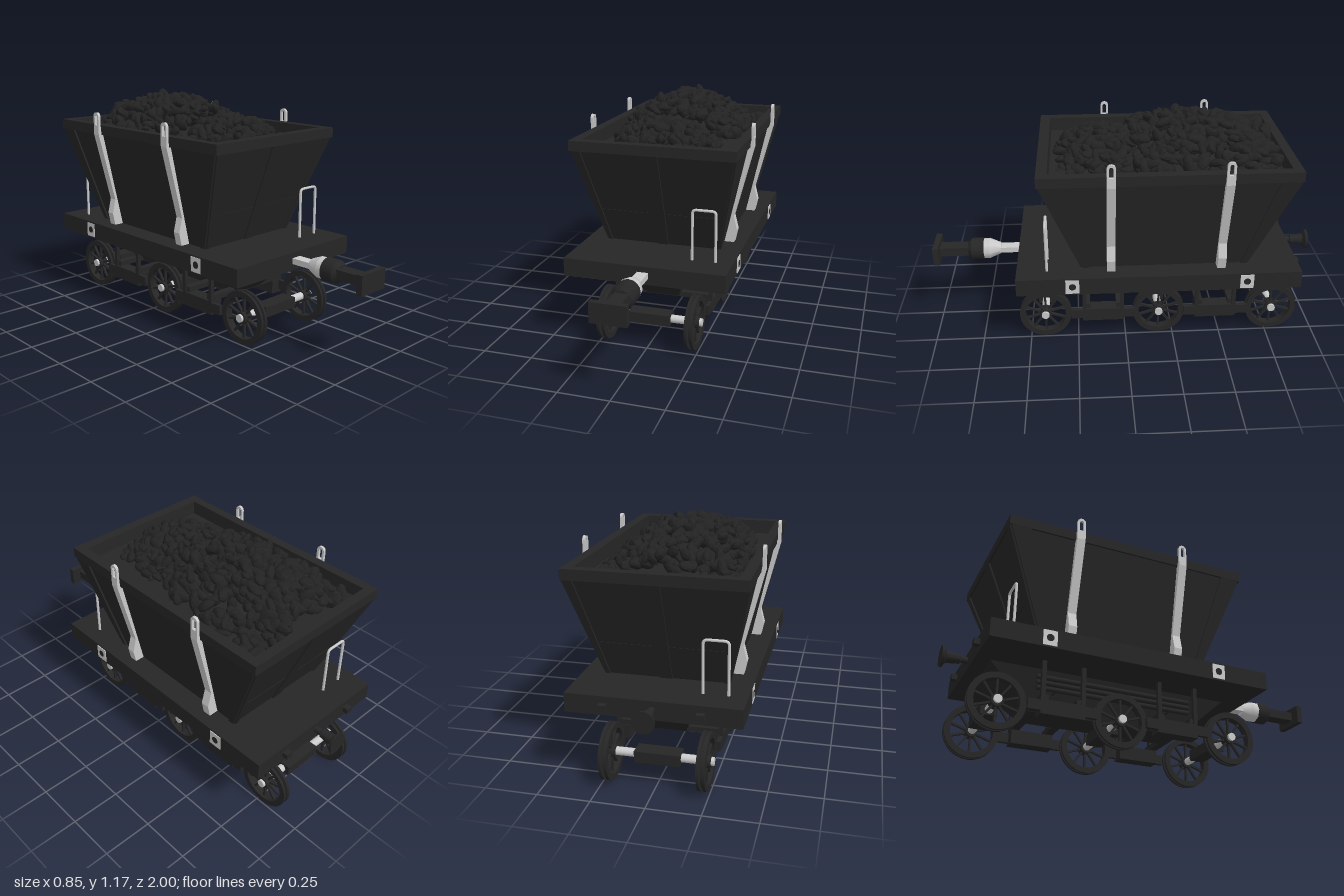
import * as THREE from 'three';
import { mergeGeometries, toCreasedNormals } from 'three/addons/utils/BufferGeometryUtils.js';
import { ConvexGeometry } from 'three/addons/geometries/ConvexGeometry.js';

const dark = new THREE.MeshStandardMaterial({ color: 0x262626 });
const coalMat = new THREE.MeshStandardMaterial({ color: 0x222222 });
const light = new THREE.MeshStandardMaterial({ color: 0xcccccc });
const V = (x, y, z) => new THREE.Vector3(x, y, z);

export function createModel() {
  const root = new THREE.Group();

  const add = (name, geo, mat = dark, parent = root) => {
    const m = new THREE.Mesh(geo, mat);
    m.name = name;
    parent.add(m);
    return m;
  };
  // box given by its extents
  const box = (name, x0, x1, y0, y1, z0, z1, mat = dark) =>
    add(name, new THREE.BoxGeometry(x1 - x0, y1 - y0, z1 - z0)
      .translate((x0 + x1) / 2, (y0 + y1) / 2, (z0 + z1) / 2), mat);
  // cylinder along x or z
  const rod = (name, axis, r0, r1, len, x, y, z, mat = dark, seg = 16) => {
    const g = new THREE.CylinderGeometry(r1, r0, len, seg);
    if (axis === 'x') g.rotateZ(-Math.PI / 2); else g.rotateX(Math.PI / 2);
    return add(name, g.translate(x, y, z), mat);
  };
  // skin through rectangular rings [halfWidth, zFront, zBack, y], capped at both ends
  const loft = (rings) => {
    const pos = [];
    const c = rings.map(([h, zf, zb, y]) => [V(-h, y, zf), V(h, y, zf), V(h, y, zb), V(-h, y, zb)]);
    const quad = (a, b, d, e) => [a, b, d, a, d, e].forEach((p) => pos.push(p.x, p.y, p.z));
    for (let i = 0; i < c.length - 1; i++) {
      for (let k = 0; k < 4; k++) {
        const n = (k + 1) % 4;
        quad(c[i][k], c[i][n], c[i + 1][n], c[i + 1][k]);
      }
    }
    quad(c[0][3], c[0][2], c[0][1], c[0][0]);
    quad(...c[c.length - 1]);
    const g = new THREE.BufferGeometry();
    g.setAttribute('position', new THREE.Float32BufferAttribute(pos, 3));
    g.computeVertexNormals();
    return g;
  };

  // flat deck
  box('deck', -0.402, 0.4, 0.36, 0.45, -0.872, 0.55);

  // hopper: sloping walls, rim and recessed bed
  const low = [0.29, 0.22, -0.61, 0.45], high = [0.4, 0.41, -0.815, 0.95];
  add('hopper', loft([low, high, [0.41, 0.425, -0.825, 0.95], [0.41, 0.425, -0.825, 1.0],
    [0.362, 0.373, -0.777, 1.0], [0.36, 0.37, -0.775, 0.93]]));

  // raised boards on the walls, u in -1..1 across, v in 0..1 up
  const wallPoint = (wall, u, v) => {
    const [h, zf, zb, y] = low.map((a, i) => a + (high[i] - a) * v);
    const zs = (zf + zb) / 2 + u * (zf - zb) / 2;
    return { front: V(u * h, y, zf), back: V(u * h, y, zb), left: V(h, y, zs), right: V(-h, y, zs) }[wall];
  };
  const outward = { front: V(0, 0, 1), back: V(0, 0, -1), left: V(1, 0, 0), right: V(-1, 0, 0) };
  const board = (wall, u0, u1, u2, u3, v0 = 0, v1 = 1, t = 0.009) => {
    const pts = [wallPoint(wall, u0, v0), wallPoint(wall, u1, v0), wallPoint(wall, u2, v1), wallPoint(wall, u3, v1)];
    const off = outward[wall].clone().multiplyScalar(t);
    add(wall + 'Board', new ConvexGeometry([...pts, ...pts.map((p) => p.clone().add(off))]));
  };
  for (const [wall, inner] of [['front', 0.89], ['back', 0.89], ['left', 0.84], ['right', 0.84]]) {
    for (const s of [-1, 1]) board(wall, s * 0.93, s, s, s * inner);
  }
  for (const wall of ['front', 'back']) {
    board(wall, -0.1, 0.1, 0.08, -0.08);
    board(wall, -0.95, 0.95, 0.95, -0.95, 0.35, 0.36, 0.003);
  }

  // discharge chute under the deck
  add('chute', loft([[0.083, 0.22, -0.58, 0.17], [0.16, 0.43, -0.8, 0.36]]));

  // wheels with double rims, spokes, hubs and axles
  const rim = toCreasedNormals(new THREE.LatheGeometry(
    [[0.106, -0.02], [0.135, -0.02], [0.135, -0.007], [0.118, -0.003], [0.118, 0.003],
      [0.135, 0.007], [0.135, 0.02], [0.106, 0.02], [0.106, -0.02]]
      .map(([r, y]) => new THREE.Vector2(r, y)), 28).rotateZ(Math.PI / 2), 0.6);
  for (const z of [0.42, -0.175, -0.775]) {
    rod('axle', 'x', 0.02, 0.02, 0.52, 0, 0.138, z, light);
    box('axleBlock', -0.11, 0.103, 0.112, 0.166, z - 0.04, z + 0.04);
    for (const s of [-1, 1]) {
      const wheel = new THREE.Group();
      wheel.name = 'wheel';
      wheel.position.set(s * 0.222, 0.136, z);
      add('wheelRim', rim, dark, wheel);
      add('wheelHub', new THREE.CylinderGeometry(0.03, 0.03, 0.05, 16).rotateZ(Math.PI / 2), dark, wheel);
      for (let i = 0; i < 10; i++) {
        add('spoke', new THREE.BoxGeometry(0.014, 0.09, 0.01).translate(0, 0.066, 0)
          .rotateX(i * Math.PI / 5), dark, wheel);
      }
      root.add(wheel);
    }
  }

  // side frames between the wheels, with struts and cross beams
  for (const [z0, z1] of [[0.01, 0.225], [-0.58, -0.365]]) {
    for (const s of [-1, 1]) {
      box('sideFrame', s * 0.225 - 0.035, s * 0.225 + 0.035, 0.1, 0.17, z0, z1);
      box('frameBar', s * 0.25 - 0.01, s * 0.25 + 0.01, 0.115, 0.165, z0 - 0.06, z1 + 0.06);
      for (const z of [z0 + 0.01, z1 - 0.01]) {
        box('strut', s * 0.25 - 0.01, s * 0.25 + 0.01, 0.165, 0.37, z - 0.01, z + 0.01);
      }
    }
    for (const z of [z0 + 0.02, z1 - 0.02]) box('crossBeam', -0.25, 0.25, 0.172, 0.198, z - 0.02, z + 0.02);
  }

  // pipes along the chute on short brackets
  for (const y of [0.313, 0.285, 0.258]) {
    for (const s of [-1, 1]) {
      rod('pipe', 'z', 0.012, 0.012, 0.8, s * 0.175, y, -0.18, dark, 10);
      for (const z of [0.12, -0.48]) rod('pipeBracket', 'x', 0.006, 0.006, 0.08, s * 0.14, y, z, dark, 8);
    }
  }

  for (const s of [-1, 1]) {
    // levers up the hopper sides, with a slotted eye on top
    for (const z of [0.077, -0.475]) {
      const prof = new THREE.Shape([[0.285, 0.45], [0.34, 0.45], [0.354, 0.515], [0.335, 0.59],
        [0.427, 0.95], [0.427, 0.97], [0.413, 0.97], [0.398, 0.95]]
        .map(([x, y]) => new THREE.Vector2(s * x, y)));
      add('lever', new THREE.ExtrudeGeometry(prof, { depth: 0.042, bevelEnabled: false })
        .translate(0, 0, z - 0.021), light);
      const eye = new THREE.Shape();
      eye.moveTo(-0.021, 0.96).lineTo(0.021, 0.96).lineTo(0.021, 1.046);
      eye.absarc(0, 1.046, 0.021, 0, Math.PI, false);
      const slot = new THREE.Path();
      slot.moveTo(0.01, 1.0).lineTo(-0.01, 1.0).lineTo(-0.01, 1.045);
      slot.absarc(0, 1.045, 0.01, Math.PI, 0, true);
      eye.holes.push(slot);
      add('leverEye', new THREE.ExtrudeGeometry(eye, { depth: 0.014, bevelEnabled: false, curveSegments: 8 })
        .translate(0, 0, -0.007).rotateY(Math.PI / 2).translate(s * 0.42, 0, z), light);
    }
    // bolt plates on the deck sides
    for (const z of [0.272, -0.597]) {
      box('boltPlate', s * 0.4 - 0.004, s * 0.4 + 0.004, 0.368, 0.443, z - 0.034, z + 0.034, light);
      rod('bolt', 'x', 0.018, 0.018, 0.01, s * 0.4, 0.406, z);
    }
    // handrails at opposite corners
    const path = new THREE.CurvePath();
    const z = s > 0 ? 0.398 : -0.745;
    const [a, b, top, r] = [s * 0.2, s * 0.315, 0.702, 0.02];
    path.add(new THREE.LineCurve3(V(a, 0.44, z), V(a, top - r, z)));
    path.add(new THREE.QuadraticBezierCurve3(V(a, top - r, z), V(a, top, z), V(a + s * r, top, z)));
    path.add(new THREE.LineCurve3(V(a + s * r, top, z), V(b - s * r, top, z)));
    path.add(new THREE.QuadraticBezierCurve3(V(b - s * r, top, z), V(b, top, z), V(b, top - r, z)));
    path.add(new THREE.LineCurve3(V(b, top - r, z), V(b, 0.44, z)));
    add('handrail', new THREE.TubeGeometry(path, 80, 0.007, 8), light);
    // small brackets on the back beam
    box('backBracket', s * 0.22 - 0.018, s * 0.22 + 0.018, 0.39, 0.418, -0.9, -0.86);
  }

  // front drawbar
  box('drawbar', -0.028, 0.028, 0.393, 0.422, 0.54, 0.66, light);
  rod('drawbarNeck', 'z', 0.03, 0.056, 0.06, 0, 0.408, 0.68, light, 8);
  rod('drawbarCollar', 'z', 0.056, 0.056, 0.04, 0, 0.408, 0.73, light, 8);
  rod('drawbarSocket', 'z', 0.057, 0.057, 0.065, 0, 0.408, 0.772);
  rod('drawbarTaper', 'z', 0.057, 0.036, 0.02, 0, 0.408, 0.814);
  box('drawbarShaft', -0.036, 0.036, 0.385, 0.432, 0.81, 0.975);
  box('drawbarPlate', -0.086, 0.086, 0.36, 0.457, 0.97, 1.0);

  // back buffer
  add('buffer', toCreasedNormals(new THREE.LatheGeometry(
    [[0, 0], [0.016, 0], [0.016, 0.04], [0.022, 0.045], [0.029, 0.11], [0.05, 0.122], [0.052, 0.135], [0, 0.135]]
      .map(([r, y]) => new THREE.Vector2(r, y)), 20), 0.6)
    .rotateX(-Math.PI / 2).translate(0, 0.408, -0.865));

  // coal: flattened, slightly lumpy stones over two uneven heaps
  let seed = 7;
  const rnd = () => (seed = (seed * 16807) % 2147483647) / 2147483647;
  const heap = (x, z) => Math.max(0.95,
    1.135 - 0.15 * ((x + 0.03) / 0.29) ** 2 - 0.09 * ((z + 0.32) / 0.42) ** 2 - (z > -0.04 ? 0.2 : 0),
    1.065 - 0.1 * ((x + 0.03) / 0.25) ** 2 - 0.08 * ((z - 0.11) / 0.2) ** 2);
  const stones = [];
  for (let i = 0; i < 850; i++) {
    const z = -0.745 + rnd() * 1.07;
    const back = z < -0.15;
    const halfWidth = Math.min(0.325, 0.28 - 0.1 * z) + 0.015 * Math.sin(z * 25);
    const x = -0.015 + (rnd() * 2 - 1) * (back ? halfWidth : halfWidth - 0.025);
    const r = (back ? 0.025 : 0.021) + rnd() * 0.014;
    const g = new THREE.IcosahedronGeometry(r, 1);
    const p = g.attributes.position, k = rnd() * 9;
    for (let j = 0; j < p.count; j++) {
      const v = V().fromBufferAttribute(p, j);
      const f = 1 + 0.08 * Math.sin(v.x / r * 3 + k) * Math.cos(v.y / r * 2.5 + v.z / r * 2 + k);
      p.setXYZ(j, v.x * f * 1.3, v.y * f * 0.65, v.z * f * 0.85);
    }
    g.rotateX(rnd() * 6).rotateY(rnd() * 6).rotateZ(rnd() * 6);
    stones.push(g.translate(x, heap(x, z) - rnd() * 0.045, z));
  }
  const coal = mergeGeometries(stones);
  coal.computeVertexNormals();
  add('coal', coal, coalMat);

  return root;
}
